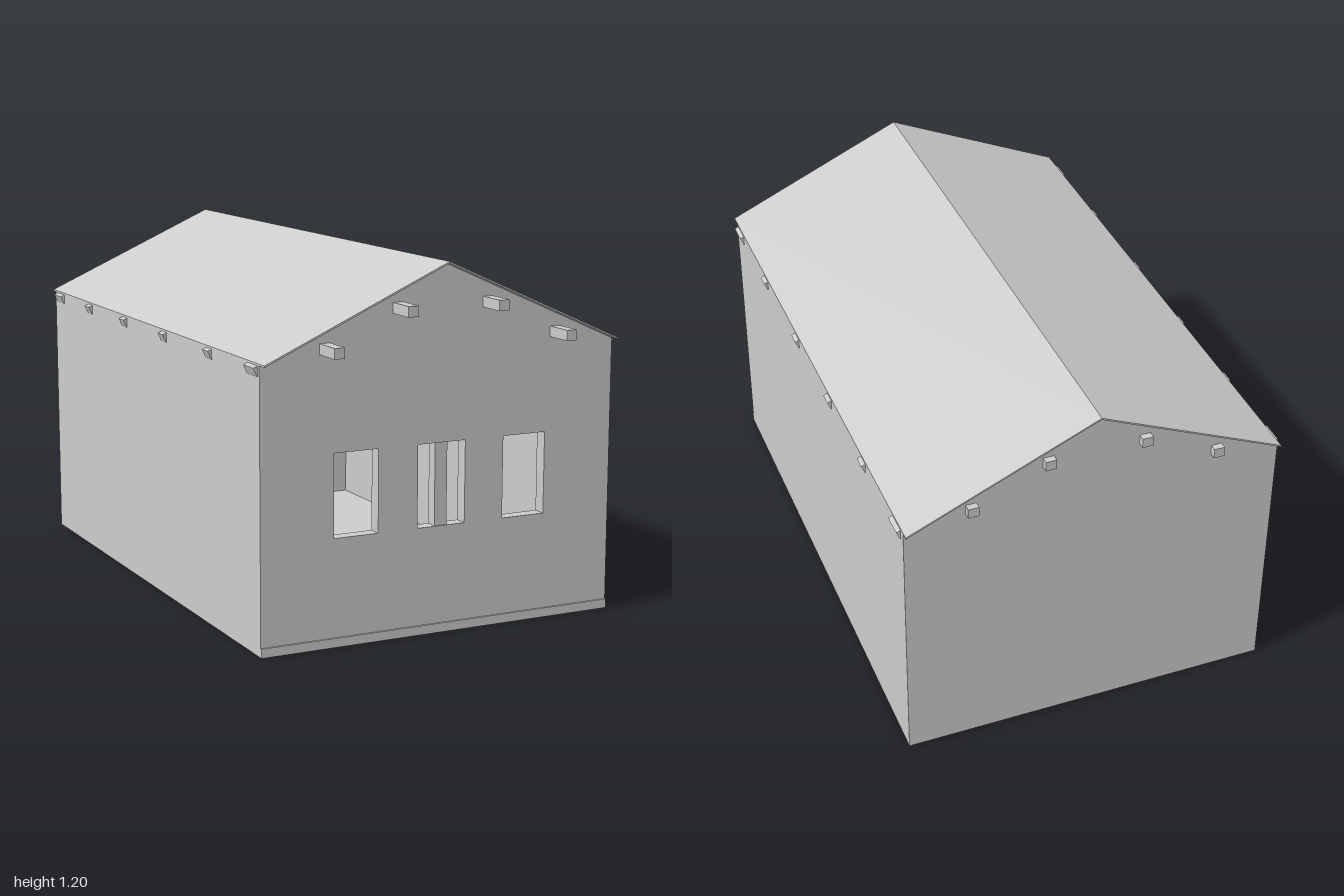
import * as THREE from 'three';

const W = 0.63, EAVE = 0.91, RIDGE = 1.19, SKIN = 0.006, T = 0.045;
const FRONT = 0.9, BACK = -0.975;
const SLOPE = Math.atan2(RIDGE - EAVE, W);

export function createModel() {
  const house = new THREE.Group();
  house.name = 'house';
  const material = new THREE.MeshStandardMaterial({ color: 0xcccccc, flatShading: true });

  const add = (name, geometry, x = 0, y = 0, z = 0) => {
    const mesh = new THREE.Mesh(geometry, material);
    mesh.name = name;
    mesh.position.set(x, y, z);
    house.add(mesh);
    return mesh;
  };
  const box = (name, x0, x1, y0, y1, z0, z1) =>
    add(name, new THREE.BoxGeometry(x1 - x0, y1 - y0, z1 - z0),
      (x0 + x1) / 2, (y0 + y1) / 2, (z0 + z1) / 2);
  const polygon = (points) => new THREE.Shape(points.map(([x, y]) => new THREE.Vector2(x, y)));
  const extrude = (shape, depth) => new THREE.ExtrudeGeometry(shape, { depth, bevelEnabled: false });
  const gable = () => polygon([[-W, 0], [W, 0], [W, EAVE], [0, RIDGE], [-W, EAVE]]);

  // Gable walls, the front one with three openings
  const front = gable();
  for (const [x0, x1] of [[-0.38, -0.225], [-0.085, 0.085], [0.225, 0.38]]) {
    front.holes.push(new THREE.Path([[x0, 0.35], [x0, 0.62], [x1, 0.62], [x1, 0.35]]
      .map(([x, y]) => new THREE.Vector2(x, y))));
  }
  add('frontWall', extrude(front, T), 0, 0, FRONT - T);
  add('backWall', extrude(gable(), T), 0, 0, BACK);

  // Post in the middle opening
  box('windowPost', -0.021, 0.023, 0.35, 0.62, FRONT - T, FRONT - 0.006);

  // Floor and the strip along the foot of the front
  box('floor', -W + T, W - T, 0, 0.02, BACK + T, FRONT - T);
  box('baseStrip', -W, W, 0, 0.03, FRONT, FRONT + 0.006);

  // Side walls, topped along the roof slope
  for (const s of [-1, 1]) {
    const inner = EAVE + T * Math.tan(SLOPE);
    const profile = polygon([[s * W, 0], [s * W, EAVE], [s * (W - T), inner], [s * (W - T), 0]]);
    add(s > 0 ? 'leftWall' : 'rightWall', extrude(profile, FRONT - BACK - 2 * T), 0, 0, BACK + T);
  }

  // Thin folded roof
  const roof = polygon([[-W, EAVE], [0, RIDGE], [W, EAVE],
    [W, EAVE + SKIN], [0, RIDGE + SKIN], [-W, EAVE + SKIN]]);
  add('roof', extrude(roof, 1.937), 0, 0, -1);

  // Purlins running the length of the house
  for (const s of [-1, 1]) {
    for (const [x, y] of [[0.16, 1.058], [0.411, 0.947]]) {
      box('purlin', s * x - 0.018, s * x + 0.018, y - 0.017, y + 0.017, -0.998, 1);
    }
  }

  // Rafters under the roof with tails past the side walls
  const rafters = [[0.85, 0.075], [0.515, 0.045], [0.133, 0.045],
    [-0.235, 0.045], [-0.59, 0.045], [-0.915, 0.075]];
  const tip = 0.644, depth = 0.03;
  const roofY = (x) => RIDGE - 0.001 - x * Math.tan(SLOPE);
  for (const s of [-1, 1]) {
    const dx = depth * Math.sin(SLOPE), dy = depth * Math.cos(SLOPE);
    const profile = polygon([[0, roofY(0)], [s * tip, roofY(tip)],
      [s * (tip - dx), roofY(tip) - dy], [0, roofY(0) - depth / Math.cos(SLOPE)]]);
    for (const [z, width] of rafters) {
      add('rafter', extrude(profile, width), 0, 0, z - width / 2);
    }
  }
  return house;
}
